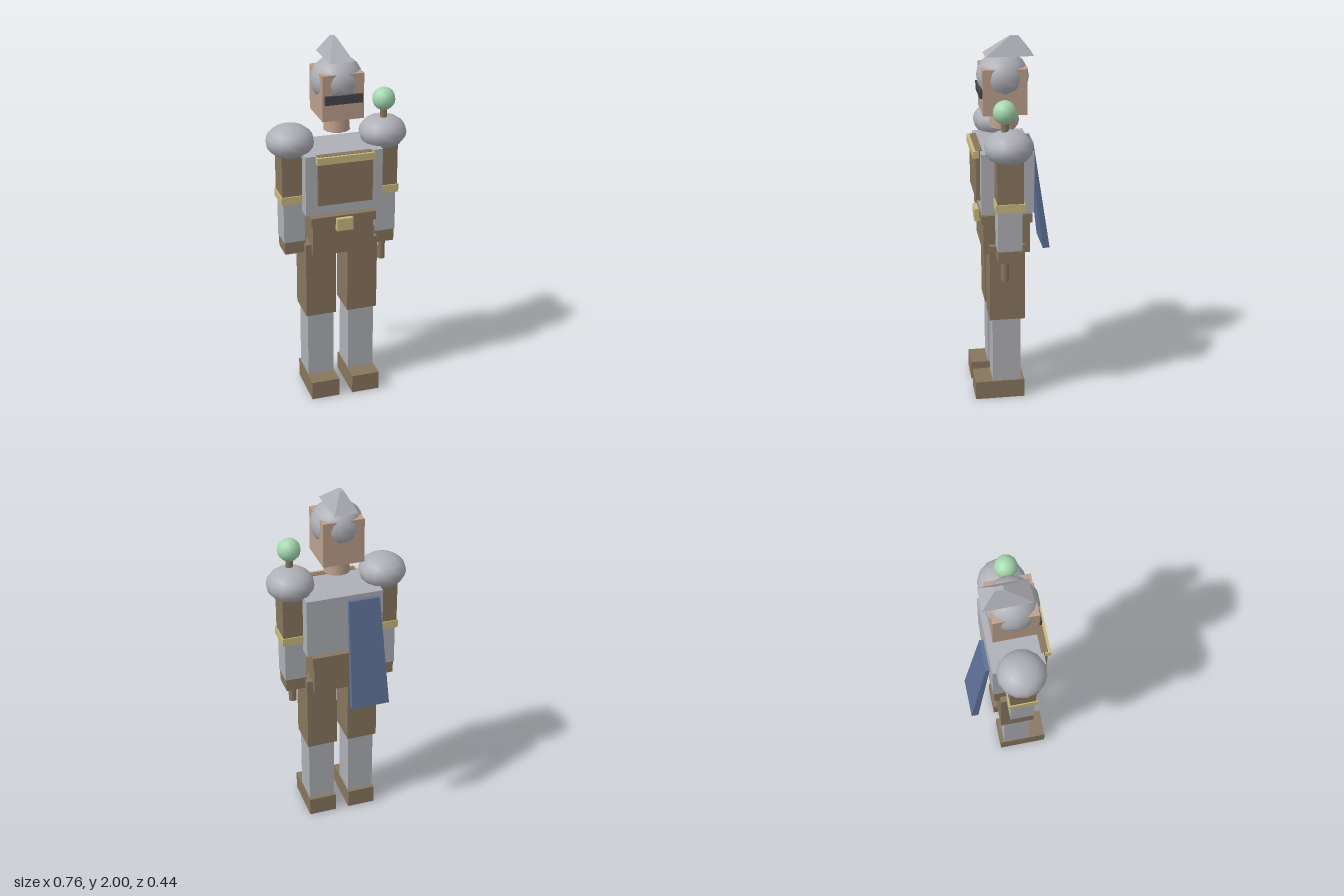
import * as THREE from 'three';

export function createModel() {
  const model = new THREE.Group();
  model.name = 'armouredFigure';

  const mat = (name, color) => {
    const m = new THREE.MeshStandardMaterial({ color });
    m.name = name;
    return m;
  };
  const leather = mat('leather', 0x88765e);
  const steel = mat('steel', 0xafb0b7);
  const brass = mat('brass', 0xcbb97e);
  const skin = mat('skin', 0xbca08c);
  const cloth = mat('blueCloth', 0x5d7096);
  const dark = mat('visorDark', 0x46474a);
  const gem = mat('greenOrb', 0xa5d8af);

  const add = (name, geometry, material, x = 0, y = 0, z = 0) => {
    const mesh = new THREE.Mesh(geometry, material);
    mesh.name = name;
    mesh.position.set(x, y, z);
    model.add(mesh);
    return mesh;
  };

  // Box given by its x centre, width, y range and z range
  const box = (name, material, x, w, y0, y1, z0, z1) =>
    add(name, new THREE.BoxGeometry(w, y1 - y0, z1 - z0), material, x, (y0 + y1) / 2, (z0 + z1) / 2);

  // Solid between two level rectangles [x0, x1, z0, z1]
  const tapered = (name, material, y0, bottom, y1, top) => {
    const g = new THREE.BoxGeometry(1, 1, 1);
    const p = g.attributes.position;
    for (let i = 0; i < p.count; i++) {
      const r = p.getY(i) > 0 ? top : bottom;
      p.setXYZ(i, r[p.getX(i) > 0 ? 1 : 0], p.getY(i) > 0 ? y1 : y0, r[p.getZ(i) > 0 ? 3 : 2]);
    }
    g.computeVertexNormals();
    return add(name, g, material);
  };

  const ball = (name, material, x, y, z, rx, ry, rz, segments, rings) => {
    const g = new THREE.SphereGeometry(1, segments, rings);
    g.scale(rx, ry, rz);
    return add(name, g, material, x, y, z);
  };

  // Legs and arms, mirrored
  for (const [side, s] of [['left', 1], ['right', -1]]) {
    box(side + 'Boot', leather, s * 0.116, 0.156, 0, 0.106, -0.053, 0.218);
    box(side + 'Shin', steel, s * 0.116, 0.146, 0.1, 0.5, -0.032, 0.122);
    box(side + 'Thigh', leather, s * 0.116, 0.168, 0.488, 0.92, -0.053, 0.137);

    box(side + 'UpperArm', leather, s * 0.259, 0.114, 1.17, 1.46, -0.027, 0.11);
    box(side + 'ArmBand', brass, s * 0.261, 0.122, 1.157, 1.2, -0.033, 0.117);
    box(side + 'Forearm', steel, s * 0.252, 0.115, 0.934, 1.17, -0.022, 0.106);
    box(side + 'Hand', leather, s * 0.249, 0.112, 0.865, 0.965, -0.02, 0.104);
    ball(side + 'Pauldron', steel, s * 0.253, 1.485, 0.042, 0.127, 0.09, 0.127, 14, 10);
  }

  // Hips and belt
  box('pelvis', leather, 0, 0.336, 0.865, 1.05, -0.083, 0.165);
  box('belt', leather, 0, 0.356, 1.038, 1.087, -0.095, 0.175);
  box('buckle', brass, 0, 0.09, 1.008, 1.077, 0.16, 0.198);

  // Torso and chest plate
  box('torso', steel, 0, 0.418, 1.108, 1.437, -0.097, 0.178);
  box('chestPlate', leather, 0, 0.296, 1.167, 1.44, 0.165, 0.2);
  box('chestTrim', brass, 0, 0.312, 1.4, 1.438, 0.184, 0.215);

  // Head and helmet
  add('neck', new THREE.CylinderGeometry(0.063, 0.071, 0.1, 12), skin, 0, 1.575, 0.04);
  box('head', skin, 0, 0.22, 1.61, 1.85, -0.075, 0.155);
  ball('helmet', steel, 0, 1.795, 0.04, 0.137, 0.125, 0.137, 14, 10);
  box('visor', dark, 0, 0.2, 1.7, 1.746, 0.13, 0.17);
  tapered('crest', steel, 1.905, [-0.063, 0.063, -0.115, 0.135], 2.0, [-0.011, 0.011, -0.043, 0]);

  // Half cape hanging behind the right side
  tapered('cape', cloth, 0.81, [-0.21, 0, -0.22, -0.182], 1.416, [-0.18, -0.011, -0.127, -0.106]);

  // Staff with orb in the left hand
  add('staffShaft', new THREE.CylinderGeometry(0.02, 0.022, 0.89, 8), leather, 0.25, 1.193, 0.062);
  ball('staffOrb', gem, 0.25, 1.67, 0.062, 0.061, 0.061, 0.061, 12, 10);

  return model;
}
